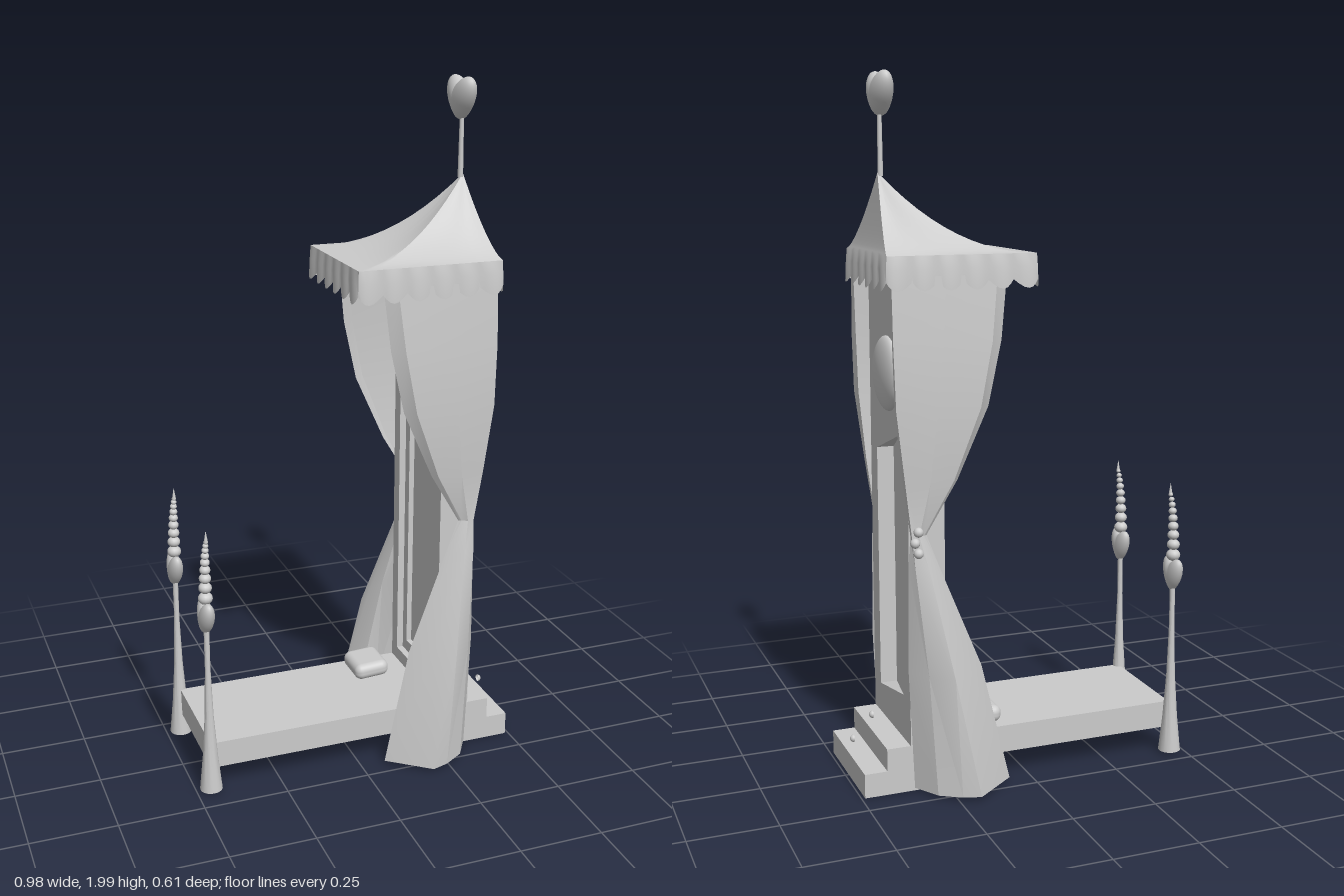
import * as THREE from 'three';
import { toCreasedNormals } from 'three/addons/utils/BufferGeometryUtils.js';
import { RoundedBoxGeometry } from 'three/addons/geometries/RoundedBoxGeometry.js';

const smooth = new THREE.MeshStandardMaterial({ color: 0xcccccc });
const thin = new THREE.MeshStandardMaterial({ color: 0xcccccc, side: THREE.DoubleSide });

function add(parent, name, geometry, x = 0, y = 0, z = 0, material = smooth) {
  const mesh = new THREE.Mesh(geometry, material);
  mesh.name = name;
  mesh.position.set(x, y, z);
  parent.add(mesh);
  return mesh;
}

// Box given by its limits on each axis
function block(parent, name, x0, x1, y0, y1, z0, z1) {
  return add(parent, name, new THREE.BoxGeometry(x1 - x0, y1 - y0, z1 - z0),
    (x0 + x1) / 2, (y0 + y1) / 2, (z0 + z1) / 2);
}

// Surface through rows of [x, y, z] points
function loft(rows, crease) {
  const n = rows[0].length, index = [];
  for (let r = 0; r < rows.length - 1; r++) {
    for (let i = 0; i < n - 1; i++) {
      const a = r * n + i, b = a + n;
      index.push(a, a + 1, b, a + 1, b + 1, b);
    }
  }
  const g = new THREE.BufferGeometry();
  g.setAttribute('position', new THREE.Float32BufferAttribute(rows.flat(2), 3));
  g.setIndex(index);
  return toCreasedNormals(g, crease);
}

// Puffy heart: a sphere sheared upwards on both sides
function heartGeometry(halfWidth, height, halfDepth) {
  const g = new THREE.SphereGeometry(1, 28, 20), p = g.attributes.position;
  for (let i = 0; i < p.count; i++) {
    const w = p.getZ(i);
    p.setXYZ(i, p.getX(i) * halfDepth, (p.getY(i) + 0.8 * Math.abs(w) - 0.14) * height / 2.28, w * halfWidth);
  }
  g.computeVertexNormals();
  return g;
}

// Upright panel with a hole, facing +x; outline points are [z, y]
function pierced(outer, hole, depth) {
  const toV = ([z, y]) => new THREE.Vector2(-z, y);
  const shape = new THREE.Shape(outer.map(toV));
  shape.holes.push(new THREE.Path(hole.map(toV)));
  return new THREE.ExtrudeGeometry(shape, { depth, bevelEnabled: false }).rotateY(Math.PI / 2);
}

const rect = (w, y0, y1) => [[w, y0], [-w, y0], [-w, y1], [w, y1]];

// Bed post: flared foot, heart and a leaning stack of shrinking beads
function bedPost(z) {
  const post = new THREE.Group();
  post.name = 'bedPost';
  post.position.set(-0.457, 0, z);
  const profile = [[0, 0.012], [0.033, 0.012], [0.022, 0.12], [0.013, 0.25], [0.008, 0.4], [0.008, 0.54]];
  add(post, 'postShaft', toCreasedNormals(
    new THREE.LatheGeometry(profile.map(p => new THREE.Vector2(...p)), 20), 0.6));
  add(post, 'postHeart', heartGeometry(0.045, 0.1, 0.023), 0, 0.56, 0);
  let y = 0.618;
  for (let i = 0; i < 9; i++) {
    const r = 0.021 * (1 - i * 0.085), t = i / 8;
    const bead = add(post, 'postBead', new THREE.SphereGeometry(r, 14, 10), 0, y, 0.022 * t * t);
    bead.scale.y = 0.85;
    bead.rotation.x = 0.3 * t;
    y += r * 1.5;
  }
  add(post, 'postTip', new THREE.ConeGeometry(0.006, 0.035, 10), 0, 0.813, 0.024);
  return post;
}

// Curtain: each level is [y, [x, z] points], pinched in the middle
const curtainLevels = [
  [1.46, [[0.065, 0.175], [0.1, 0.195], [0.25, 0.2], [0.4, 0.195], [0.4, 0.175]]],
  [1.28, [[0.085, 0.185], [0.12, 0.21], [0.26, 0.212], [0.4, 0.205], [0.395, 0.178]]],
  [1.1, [[0.125, 0.188], [0.155, 0.212], [0.28, 0.217], [0.395, 0.208], [0.39, 0.178]]],
  [0.9, [[0.215, 0.185], [0.23, 0.2], [0.3, 0.207], [0.37, 0.2], [0.37, 0.178]]],
  [0.75, [[0.305, 0.18], [0.313, 0.185], [0.33, 0.194], [0.35, 0.19], [0.35, 0.177]]],
  [0.66, [[0.27, 0.182], [0.285, 0.2], [0.31, 0.22], [0.345, 0.205], [0.357, 0.177]]],
  [0.36, [[0.15, 0.195], [0.2, 0.25], [0.26, 0.29], [0.32, 0.24], [0.36, 0.177]]],
  [0.015, [[0.07, 0.208], [0.19, 0.303], [0.24, 0.288], [0.3, 0.25], [0.345, 0.177]]],
];

function curtain(parent, side) {
  const rows = curtainLevels.map(([y, pts]) => pts.map(([x, z]) => [x, y, z * side]));
  add(parent, side > 0 ? 'leftCurtain' : 'rightCurtain', loft(rows, 0.4), 0, 0, 0, thin);
}

// Canopy: rings from the peak to the eaves, then a scalloped valance
function canopyGeometry() {
  const corners = [[-0.015, -0.195], [0.412, -0.195], [0.412, 0.195], [-0.015, 0.195]];
  const peak = [0.375, 0], steps = 36, edge = [];
  for (let s = 0; s < 4; s++) {
    const a = corners[s], b = corners[(s + 1) % 4];
    for (let i = 0; i < steps; i++) {
      const u = i / steps;
      edge.push({
        x: a[0] + (b[0] - a[0]) * u, z: a[1] + (b[1] - a[1]) * u,
        wave: Math.abs(Math.sin(6 * Math.PI * u)),
      });
    }
  }
  edge.push(edge[0]);
  const rows = [];
  for (let k = 0; k <= 12; k++) {
    const t = k / 12;
    rows.push(edge.map(({ x, z }) => {
      const dx = x - peak[0], run = Math.max(0, -dx) / (Math.hypot(dx, z) + 1e-6);
      const fall = Math.pow(1 - t, 1.4 + 0.9 * run * run);
      return [peak[0] + dx * t, 1.515 + 0.215 * fall, z * t];
    }));
  }
  for (const [y, flare, drop] of [[1.48, 0.015, 0], [1.445, 0.02, 0.024]]) {
    rows.push(edge.map(({ x, z, wave }) => {
      const out = 1 + flare * (0.6 + 2 * wave);
      return [0.2 + (x - 0.2) * out, y - drop * wave, z * out];
    }));
  }
  return loft(rows, 0.75);
}

export function createModel() {
  const model = new THREE.Group();
  model.name = 'canopyBed';

  // Bed base, pillow and end posts
  block(model, 'bedBase', -0.457, 0.3, 0.08, 0.16, -0.175, 0.17);
  const pillow = add(model, 'pillow', new RoundedBoxGeometry(0.11, 0.05, 0.13, 4, 0.022), 0.125, 0.188, -0.09);
  pillow.rotation.z = 0.06;
  for (const z of [-0.187, 0.165]) model.add(bedPost(z));

  // Steps behind the headboard with small knobs
  block(model, 'lowerStep', 0.29, 0.49, 0.005, 0.075, -0.172, 0.172);
  block(model, 'upperStep', 0.29, 0.424, 0.075, 0.14, -0.172, 0.172);
  for (const [x, y] of [[0.415, 0.18], [0.473, 0.115]]) {
    const knob = new THREE.SphereGeometry(0.011, 14, 8, 0, Math.PI * 2, 0, Math.PI / 2).rotateZ(-Math.PI / 2);
    add(model, 'knob', knob, x, y, 0, thin);
  }

  // Headboard with a slanted recess, and the frame on the bed side
  const hole = [[0.115, 0.228], [-0.108, 0.27], [-0.108, 1.02], [0.115, 0.945]];
  add(model, 'headboard', pierced(rect(0.175, 0.14, 1.46), hole, 0.065), 0.29);
  const recessX = [0.305, 0.354, 0.354, 0.305];
  const corner = i => [recessX[i], hole[i][1], hole[i][0]];
  add(model, 'recessPanel', loft([[corner(3), corner(2)], [corner(0), corner(1)]], 0.5), 0, 0, 0, thin);
  block(model, 'headboardLining', 0.286, 0.292, 0.14, 1.46, -0.17, 0.17);
  add(model, 'headboardFrame', pierced(rect(0.175, 0.16, 1.46), rect(0.135, 0.2, 1.4), 0.04), 0.25);
  add(model, 'innerFrame', pierced(rect(0.135, 0.2, 1.4), rect(0.105, 0.235, 1.36), 0.018), 0.27);
  add(model, 'headboardDome', new THREE.SphereGeometry(0.106, 32, 20), 0.355, 1.177, 0).scale.x = 0.3;

  // Curtains and the knot of the tie
  for (const side of [1, -1]) curtain(model, side);
  for (const [x, y] of [[0.335, 0.765], [0.345, 0.735], [0.335, 0.705]]) {
    add(model, 'curtainTie', new THREE.SphereGeometry(0.014, 12, 8), x, y, -0.203);
  }

  // Canopy and its finial
  add(model, 'canopy', canopyGeometry(), 0, 0, 0, thin);
  add(model, 'finialRod', new THREE.CylinderGeometry(0.006, 0.008, 0.18, 12), 0.367, 1.81, 0);
  add(model, 'finialHeart', heartGeometry(0.069, 0.12, 0.033), 0.365, 1.94, 0);
  return model;
}
